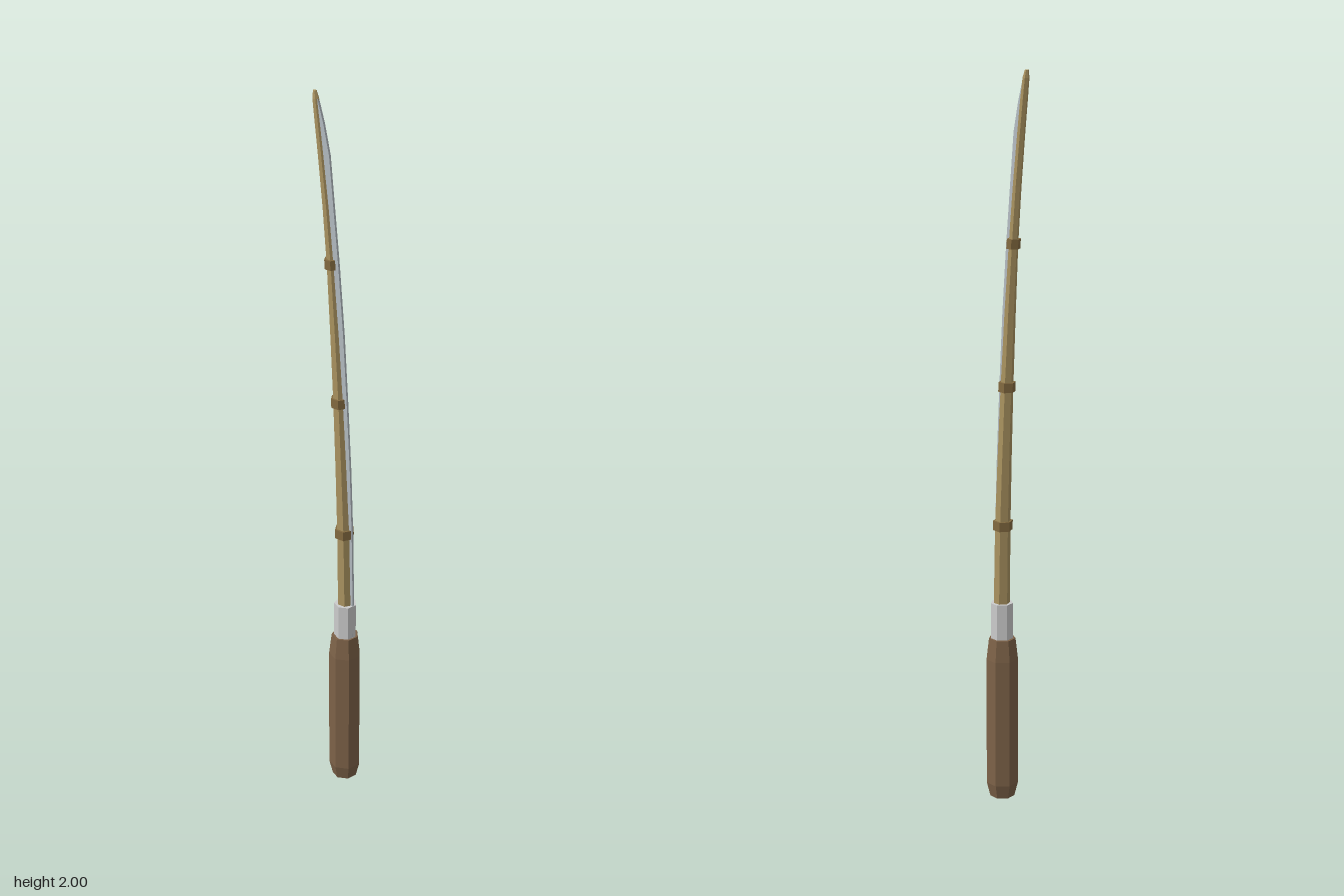
import * as THREE from 'three';

// Centre line of the bent rod: [y, centre z, radius, front edge z of the blade]
const SPINE = [
  [0.46, 0.033, 0.023, 0.060],
  [0.56, 0.032, 0.022, 0.059],
  [0.78, 0.028, 0.021, 0.055],
  [0.97, 0.020, 0.019, 0.048],
  [1.17, 0.010, 0.017, 0.037],
  [1.36, -0.002, 0.015, 0.025],
  [1.55, -0.016, 0.0125, 0.009],
  [1.70, -0.030, 0.0115, -0.006],
  [1.84, -0.046, 0.0105, -0.020],
  [1.92, -0.056, 0.010, -0.038],
  [1.98, -0.064, 0.009, -0.056],
];

// Interpolate the centre line at a given height
function spineAt(y) {
  let i = 0;
  while (i < SPINE.length - 2 && SPINE[i + 1][0] < y) i++;
  const [a, b] = [SPINE[i], SPINE[i + 1]];
  const t = (y - a[0]) / (b[0] - a[0]);
  return a.map((v, k) => v + (b[k] - v) * t);
}

// Closed skin over equal-sized cross-sections, listed bottom to top
function loft(sections) {
  const n = sections[0].length;
  const index = [];
  for (let s = 0; s < sections.length - 1; s++) {
    for (let i = 0; i < n; i++) {
      const a = s * n + i, b = s * n + (i + 1) % n;
      index.push(a, b, b + n, a, b + n, a + n);
    }
  }
  const top = (sections.length - 1) * n;
  for (let i = 1; i < n - 1; i++) {
    index.push(0, i + 1, i, top, top + i, top + i + 1);
  }
  const g = new THREE.BufferGeometry();
  g.setAttribute('position', new THREE.Float32BufferAttribute(sections.flat(2), 3));
  g.setIndex(index);
  const flat = g.toNonIndexed();
  flat.computeVertexNormals();
  return flat;
}

// Regular polygon at height y, centred on z
function polygon(sides, y, z, r, start = 0) {
  return Array.from({ length: sides }, (_, i) => {
    const a = start + (i / sides) * Math.PI * 2;
    return [r * Math.sin(a), y, z + r * Math.cos(a)];
  });
}

export function createModel() {
  const group = new THREE.Group();
  const material = (color) => new THREE.MeshStandardMaterial({ color, flatShading: true });
  const wood = material(0x7d6248);
  const bamboo = material(0xaa9360);
  const binding = material(0x836a40);
  const steel = material(0xb4bcc2);
  const metal = material(0xcccccc);

  const add = (name, geometry, mat) => {
    const mesh = new THREE.Mesh(geometry, mat);
    mesh.name = name;
    group.add(mesh);
  };

  // Seven-sided handle with chamfered ends
  const handleProfile = [[0, 0.034], [0.04, 0.044], [0.40, 0.044], [0.46, 0.037]];
  add('handle', loft(handleProfile.map(([y, r]) => polygon(7, y, 0.031, r, -Math.PI / 2))), wood);

  // Metal collar above the handle
  add('collar', loft([0.45, 0.56].map((y) => polygon(7, y, 0.032, 0.031, -Math.PI / 2))), metal);

  // Tapered six-sided rod with a blunt tip
  const rod = SPINE.map(([y, z, r]) => polygon(6, y, z, r));
  rod.push(polygon(6, 2, -0.067, 0.005));
  add('rod', loft(rod), bamboo);

  // Thin blade along the front of the rod
  const blade = SPINE.map(([y, z, , edge]) => [
    [0.0035, y, edge], [0.0045, y, z], [-0.0045, y, z], [-0.0035, y, edge],
  ]);
  add('blade', loft(blade), steel);

  // Bindings around the rod
  [0.78, 1.165, 1.55].forEach((y, i) => {
    const sections = [y - 0.013, y + 0.013].map((h) => {
      const [, z, r] = spineAt(h);
      return polygon(6, h, z, r + 0.006);
    });
    add('binding' + (i + 1), loft(sections), binding);
  });

  return group;
}
